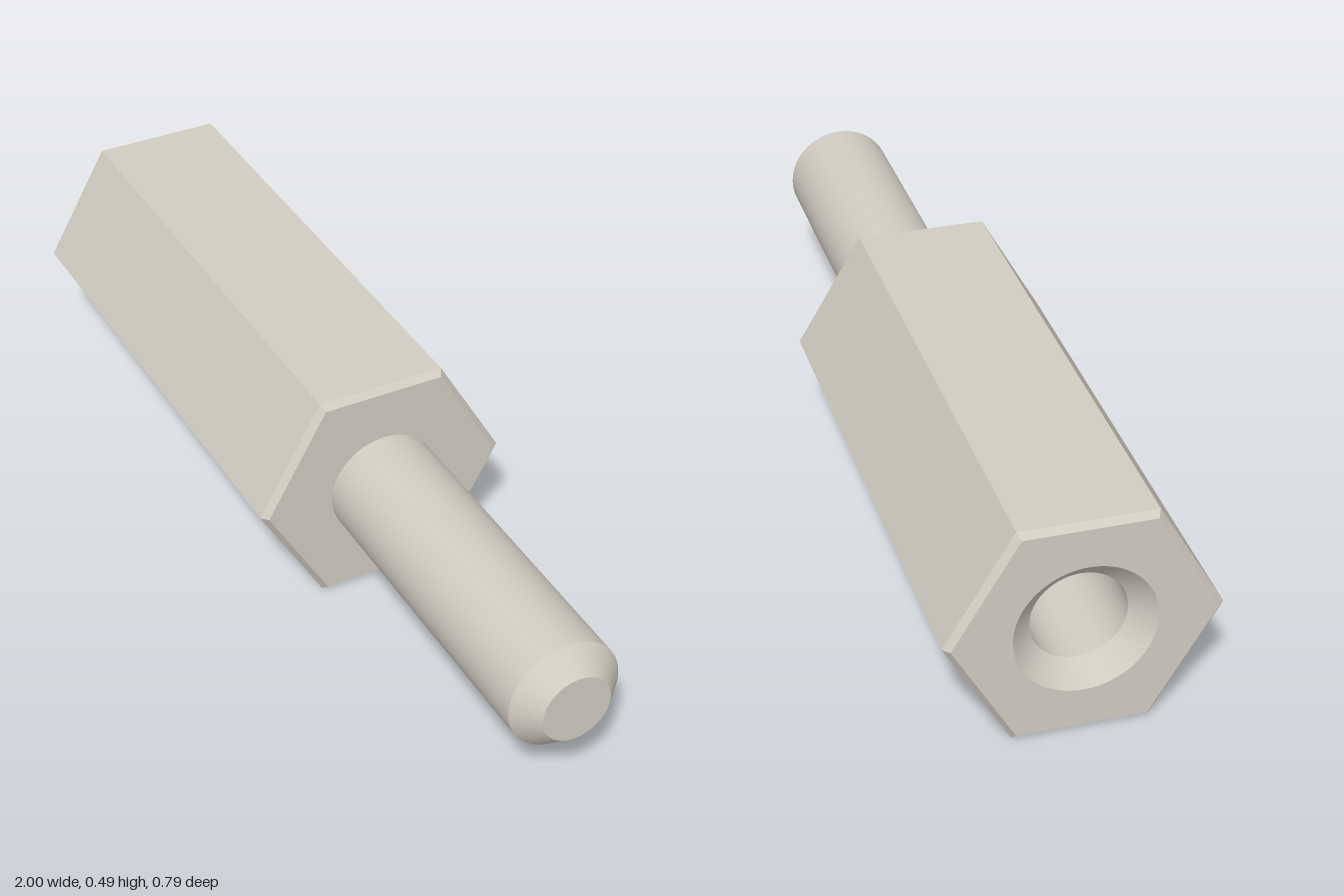
import * as THREE from 'three';
import { mergeGeometries } from 'three/addons/utils/BufferGeometryUtils.js';

const HEX_LENGTH = 1.18, HEX_R = 0.2837, HEX_CHAMFER = 0.014;
const STUD_LENGTH = 0.787, STUD_R = 0.1228, TIP_R = 0.0755, TIP_CHAMFER = 0.049;
const HOLE_R = 0.1, HOLE_DEPTH = 0.79, SINK_R = 0.147, SINK_DEPTH = 0.046;

// Lathe each straight run of the profile on its own, so the rims stay sharp
function turned(profile, sides) {
  const runs = [];
  for (let i = 0; i < profile.length - 1; i++) {
    const pair = [profile[i], profile[i + 1]].map(([r, y]) => new THREE.Vector2(r, y));
    runs.push(new THREE.LatheGeometry(pair, sides));
  }
  return mergeGeometries(runs);
}

// Flat-faced version of a geometry
function faceted(geometry) {
  const flat = geometry.toNonIndexed();
  flat.computeVertexNormals();
  return flat;
}

export function createModel() {
  const metal = new THREE.MeshStandardMaterial({ color: 0xd0ccc1 });
  const group = new THREE.Group();
  group.name = 'hexStandoff';
  const axis = new THREE.Group();
  axis.name = 'standoffAxis';
  group.add(axis);

  const add = (name, geometry) => {
    const mesh = new THREE.Mesh(geometry, metal);
    mesh.name = name;
    axis.add(mesh);
  };

  // Hexagonal body with chamfered ends, closed on the stud side
  const inner = HEX_R - HEX_CHAMFER;
  add('hexBody', faceted(turned([
    [inner, 0], [HEX_R, HEX_CHAMFER], [HEX_R, HEX_LENGTH - HEX_CHAMFER],
    [inner, HEX_LENGTH], [0, HEX_LENGTH],
  ], 6)));

  // Hexagonal end face around the socket
  const corners = [];
  for (let i = 0; i < 6; i++) {
    const a = i * Math.PI / 3;
    corners.push(new THREE.Vector2(inner * Math.sin(a), inner * Math.cos(a)));
  }
  const endShape = new THREE.Shape(corners);
  endShape.holes.push(new THREE.Path().absarc(0, 0, SINK_R, 0, Math.PI * 2, true));
  add('socketFace', new THREE.ShapeGeometry(endShape, 32).rotateX(Math.PI / 2));

  // Countersunk blind hole
  add('socket', turned([
    [0, HOLE_DEPTH], [HOLE_R, HOLE_DEPTH], [HOLE_R, SINK_DEPTH], [SINK_R, 0],
  ], 64));

  // Round stud with a chamfered tip
  const tip = HEX_LENGTH + STUD_LENGTH;
  add('stud', turned([
    [STUD_R, HEX_LENGTH], [STUD_R, tip - TIP_CHAMFER], [TIP_R, tip], [0, tip],
  ], 64));

  // Lay the part on a flat, turned slightly about the vertical
  axis.rotation.set(0, -THREE.MathUtils.degToRad(12), -Math.PI / 2);
  axis.position.set(-0.941, HEX_R * Math.cos(Math.PI / 6), -0.123);
  return group;
}
